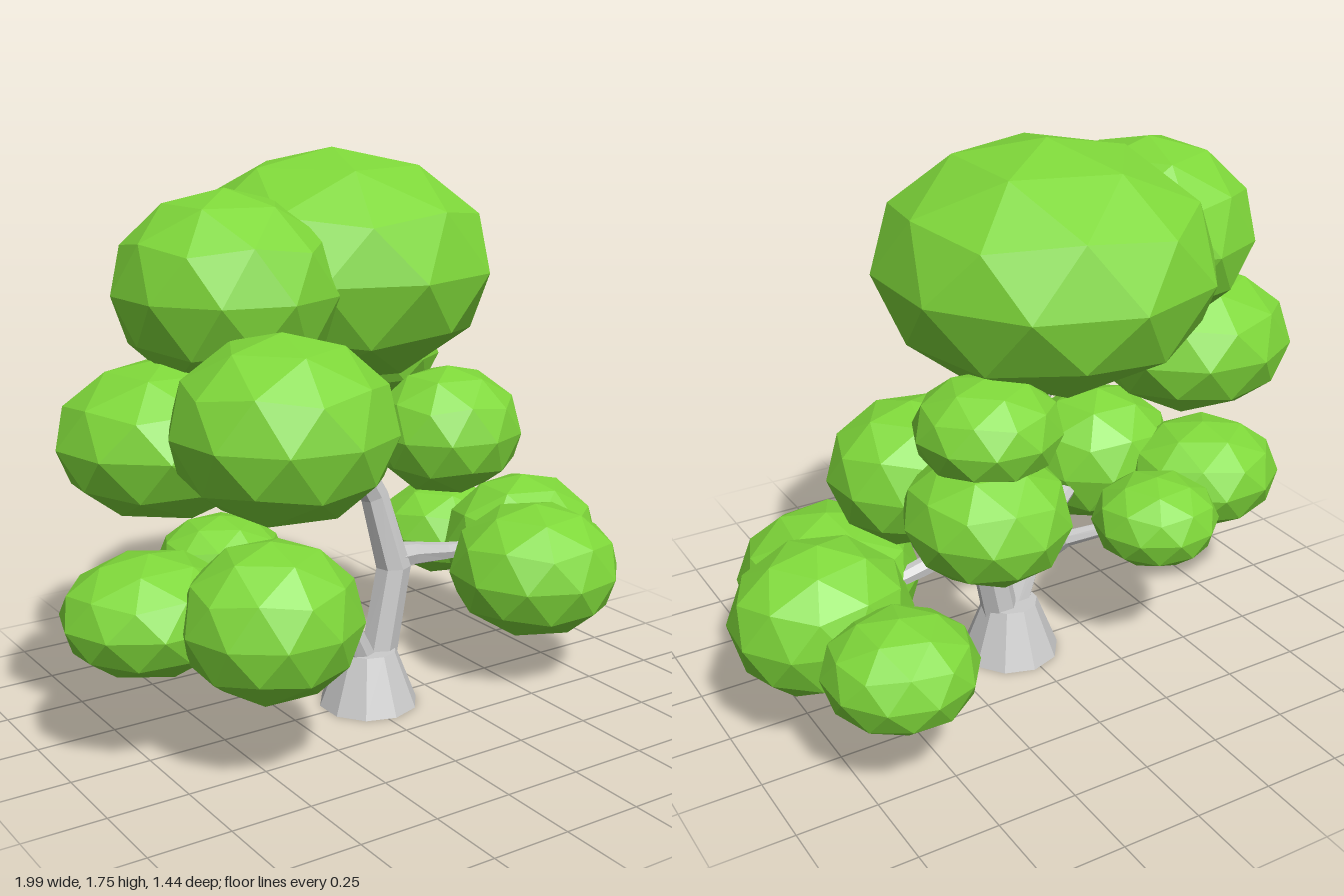
import * as THREE from 'three';

const bark = new THREE.MeshStandardMaterial({ color: 0xcccccc, flatShading: true });
const leaf = new THREE.MeshStandardMaterial({ color: 0x7fd83a, flatShading: true });

// Tapered limb: one ring of vertices per [x, y, z, radius] point, closed at both ends
function limbGeometry(path, sides) {
  const pts = path.map(([x, y, z]) => new THREE.Vector3(x, y, z));
  const up = new THREE.Vector3(0, 1, 0);
  const pos = [], idx = [], last = pts.length - 1;
  pts.forEach((p, i) => {
    const dir = pts[Math.min(i + 1, last)].clone().sub(pts[Math.max(i - 1, 0)]).normalize();
    const q = new THREE.Quaternion().setFromUnitVectors(up, dir);
    for (let s = 0; s < sides; s++) {
      const a = (s / sides) * Math.PI * 2;
      const v = new THREE.Vector3(Math.sin(a), 0, Math.cos(a)).multiplyScalar(path[i][3]);
      pos.push(...v.applyQuaternion(q).add(p).toArray());
    }
  });
  for (let i = 0; i < last; i++) {
    for (let s = 0; s < sides; s++) {
      const a = i * sides + s, b = i * sides + (s + 1) % sides;
      idx.push(a, b, b + sides, a, b + sides, a + sides);
    }
  }
  for (let s = 1; s < sides - 1; s++) {
    const t = last * sides;
    idx.push(0, s + 1, s, t, t + s, t + s + 1);
  }
  const g = new THREE.BufferGeometry();
  g.setAttribute('position', new THREE.Float32BufferAttribute(pos, 3));
  g.setIndex(idx);
  g.computeVertexNormals();
  return g;
}

export function createModel() {
  const tree = new THREE.Group();
  tree.name = 'tree';

  const add = (name, geometry, material) => {
    const mesh = new THREE.Mesh(geometry, material);
    mesh.name = name;
    tree.add(mesh);
    return mesh;
  };

  // Flared foot of the trunk
  add('trunkBase', new THREE.CylinderGeometry(0.09, 0.16, 0.18, 10), bark).position.set(0.025, 0.09, 0);

  // Bent trunk and its branches
  const limbs = {
    trunk: [[0.06, 0.14, 0, 0.06], [0.12, 0.44, 0, 0.057], [0.06, 0.68, -0.02, 0.045],
      [-0.05, 0.87, -0.02, 0.043], [-0.05, 1.05, -0.045, 0.035], [-0.02, 1.25, -0.08, 0.03]],
    lowerRightBranch: [[-0.0, 0.15, 0.01, 0.045], [-0.08, 0.31, 0.03, 0.035], [-0.24, 0.42, 0.12, 0.03],
      [-0.42, 0.48, 0.22, 0.02]],
    rearRightBranch: [[-0.07, 0.28, 0.02, 0.03], [-0.14, 0.4, -0.08, 0.027], [-0.32, 0.47, -0.2, 0.02]],
    lowerLeftBranch: [[0.1, 0.47, 0, 0.05], [0.2, 0.46, -0.02, 0.04], [0.36, 0.43, -0.05, 0.03],
      [0.6, 0.4, -0.08, 0.02]],
    upperLeftBranch: [[-0.03, 0.82, -0.02, 0.035], [0.06, 0.81, -0.06, 0.027], [0.2, 0.815, -0.14, 0.022],
      [0.36, 0.82, -0.22, 0.018]],
    upperRightBranch: [[-0.04, 0.85, -0.02, 0.035], [-0.14, 0.88, 0.05, 0.028], [-0.28, 0.91, 0.17, 0.022],
      [-0.45, 0.98, 0.28, 0.018]],
  };
  for (const [name, path] of Object.entries(limbs)) add(name, limbGeometry(path, 7), bark);

  // Faceted leaf clumps with a vertex at the pole: name, centre, radii
  const clump = new THREE.IcosahedronGeometry(1, 1).rotateZ(Math.atan2(1, (1 + Math.sqrt(5)) / 2));
  const clumps = [
    ['crown', [0.01, 1.39, -0.18], [0.5, 0.36, 0.51]],
    ['crownRight', [-0.45, 1.37, -0.02], [0.33, 0.29, 0.35]],
    ['upperRightFront', [-0.515, 1.06, 0.4], [0.315, 0.26, 0.32]],
    ['upperRight', [-0.65, 0.97, -0.01], [0.33, 0.23, 0.31]],
    ['lowerRightFront', [-0.49, 0.475, 0.28], [0.27, 0.235, 0.26]],
    ['lowerRight', [-0.73, 0.46, 0], [0.27, 0.18, 0.25]],
    ['lowerRightRear', [-0.37, 0.485, -0.24], [0.205, 0.145, 0.2]],
    ['lowerLeftFront', [0.595, 0.38, 0.13], [0.285, 0.22, 0.28]],
    ['lowerLeft', [0.72, 0.395, -0.09], [0.28, 0.235, 0.25]],
    ['lowerLeftRear', [0.63, 0.375, -0.43], [0.23, 0.165, 0.225]],
    ['upperLeft', [0.425, 0.82, -0.13], [0.255, 0.215, 0.24]],
    ['upperLeftRear', [0.375, 0.815, -0.475], [0.235, 0.185, 0.25]],
    ['upperLeftTop', [0.34, 1.045, -0.42], [0.21, 0.15, 0.21]],
  ];
  clumps.forEach(([name, centre, radii], i) => {
    // Turn each clump by a different amount before stretching it
    const g = clump.clone().rotateY(i * 0.7).scale(...radii);
    add(name + 'Leaves', g, leaf).position.set(...centre);
  });

  return tree;
}
